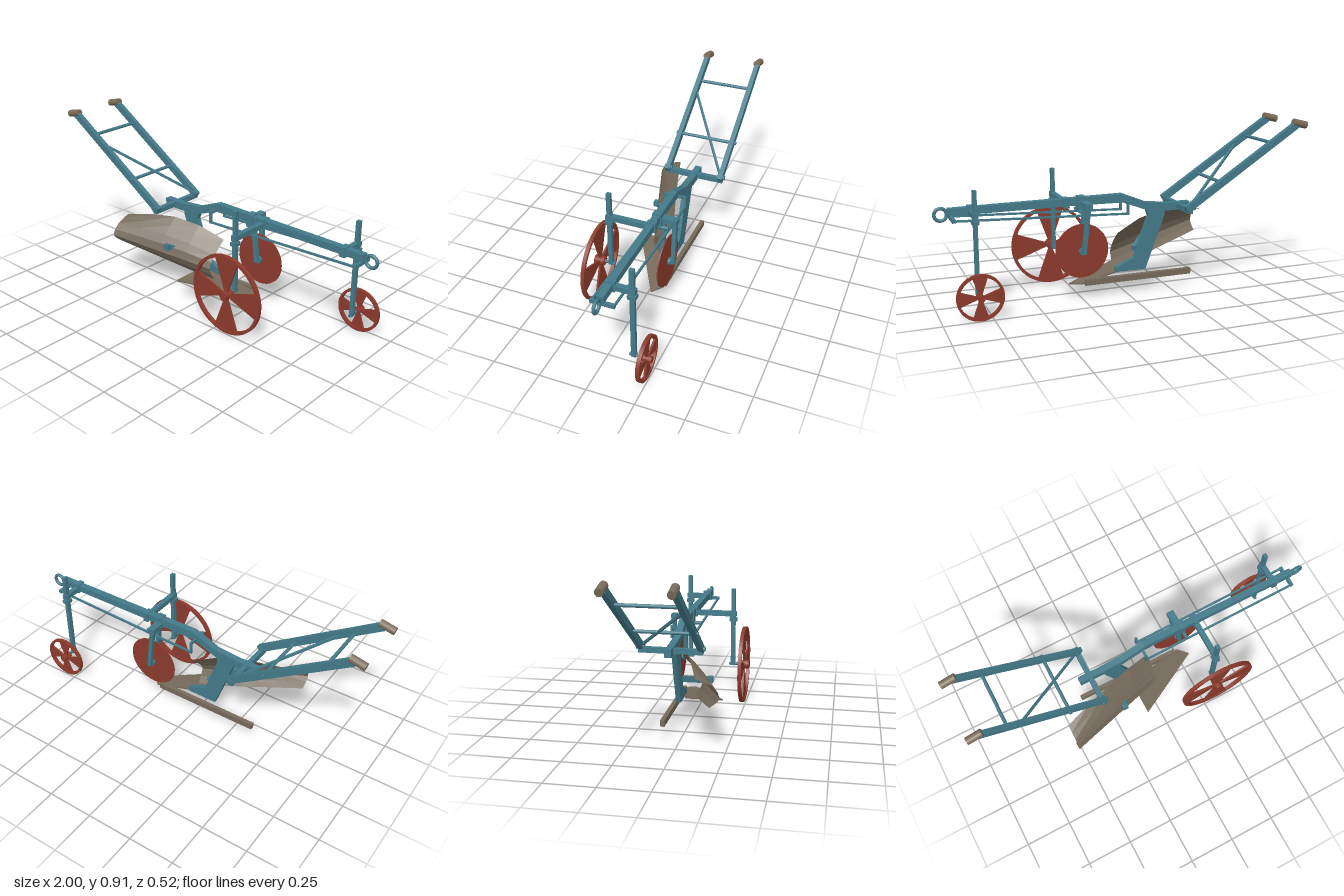
import * as THREE from 'three';

const paint = new THREE.MeshStandardMaterial({ color: 0x447a89 });
paint.name = 'blue green paint';
const red = new THREE.MeshStandardMaterial({ color: 0x8c3a2c });
red.name = 'red paint';
const steel = new THREE.MeshStandardMaterial({ color: 0x756a5b, side: THREE.DoubleSide });
steel.name = 'worn steel';
const wood = new THREE.MeshStandardMaterial({ color: 0x7a6c5a });
wood.name = 'grip wood';

const V = (x, y, z) => new THREE.Vector3(x, y, z);

export function createModel() {
  const root = new THREE.Group();
  root.name = 'plough';

  const add = (name, geo, mat, x = 0, y = 0, z = 0, parent = root) => {
    const m = new THREE.Mesh(geo, mat);
    m.name = name;
    m.position.set(x, y, z);
    parent.add(m);
    return m;
  };
  const box = (name, w, h, d, x, y, z, mat = paint) => add(name, new THREE.BoxGeometry(w, h, d), mat, x, y, z);
  // square bar between two points
  const bar = (name, a, b, w, h, mat = paint) => {
    const m = add(name, new THREE.BoxGeometry(w, h, a.distanceTo(b)), mat);
    m.position.copy(a).add(b).multiplyScalar(0.5);
    m.lookAt(b);
    return m;
  };
  // cylinder running along z
  const axle = (name, r, len, x, y, z, mat = paint, parent = root) =>
    add(name, new THREE.CylinderGeometry(r, r, len, 16).rotateX(Math.PI / 2), mat, x, y, z, parent);
  // outline in the xy plane, thickened evenly about z
  const plate = (shape, depth) =>
    new THREE.ExtrudeGeometry(shape, { depth, bevelEnabled: false, curveSegments: 40 }).translate(0, 0, -depth / 2);
  const outline = pts => new THREE.Shape(pts.map(p => new THREE.Vector2(...p)));

  // main beam, hitch ring and leg
  const bz = -0.062;
  add('beam', plate(outline([[-0.37, 0.43], [-0.25, 0.43], [-0.125, 0.442], [0.013, 0.495], [0.3, 0.5], [0.925, 0.5],
    [0.925, 0.536], [0.013, 0.541], [-0.125, 0.484], [-0.25, 0.472], [-0.37, 0.472]]), 0.036), paint, 0, 0, bz);
  add('hitchRing', new THREE.TorusGeometry(0.031, 0.009, 8, 24), paint, 0.96, 0.507, bz);
  add('leg', plate(outline([[-0.23, 0.45], [-0.23, 0.41], [-0.12, 0.115], [0.05, 0.115], [0.05, 0.14], [-0.055, 0.185],
    [-0.135, 0.41], [-0.12, 0.45]]), 0.026), paint, 0, 0, -0.06);
  bar('mouldboardStay', V(-0.06, 0.23, -0.05), V(-0.2, 0.275, 0.11), 0.025, 0.03);
  box('mouldboardBolt', 0.03, 0.03, 0.025, -0.2, 0.28, 0.127);

  // handles with grips and rungs
  for (const z of [0.095, -0.214]) {
    bar('handle', V(-0.94, 0.878, z), V(-0.29, 0.458, z), 0.026, 0.038);
    const a = V(-0.998, 0.872, z), b = V(-0.918, 0.891, z);
    const grip = add('grip', new THREE.CylinderGeometry(0.02, 0.02, a.distanceTo(b), 14).rotateX(Math.PI / 2), wood);
    grip.position.copy(a).add(b).multiplyScalar(0.5);
    grip.lookAt(b);
    axle('handleBolt', 0.013, 0.044, -0.31, 0.468, z);
  }
  axle('upperRung', 0.009, 0.3, -0.805, 0.782, -0.06);
  axle('middleRung', 0.009, 0.355, -0.495, 0.59, -0.06);
  box('lowerCrossbar', 0.026, 0.028, 0.33, -0.31, 0.452, -0.06);
  bar('handleBrace', V(-0.735, 0.742, 0.088), V(-0.32, 0.478, -0.205), 0.012, 0.012);

  // mouldboard: sections from rear to front, each given as [y, z] from top to bottom
  const mix = (a, b, t) => a + (b - a) * t;
  const topY = [0.376, 0.403, 0.412, 0.388, 0.33];
  const rear = [[0, 0.104], [0.345, 0.185], [0.285, 0.225], [0.235, 0.172]];
  const front = [[0, -0.07], [0.262, 0.005], [0.195, 0.047], [0.107, 0]];
  const rows = 6, pos = [], idx = [];
  topY.forEach((ty, i) => {
    const t = i / 4;
    const pts = rear.map((r, k) => V(mix(-0.525, 0.04, t),
      k ? mix(r[0], front[k][0], t) + (k === 1 ? 0.1 * t * (1 - t) : 0) : ty, mix(r[1], front[k][1], t)));
    new THREE.CatmullRomCurve3(pts).getPoints(rows).forEach(p => pos.push(p.x, p.y, p.z));
    if (i) for (let j = 0; j < rows; j++) {
      const a = (i - 1) * (rows + 1) + j, b = a + rows + 1;
      idx.push(a, a + 1, b, b, a + 1, b + 1);
    }
  });
  let board = new THREE.BufferGeometry();
  board.setAttribute('position', new THREE.Float32BufferAttribute(pos, 3));
  board.setIndex(idx);
  board = board.toNonIndexed();
  board.computeVertexNormals();
  add('mouldboard', board, steel);

  // share: flat blade sloping down to its point
  const share = plate(outline([[-0.083, -0.175], [0.305, 0.045], [0.25, 0.098], [-0.083, 0.03]]), 0.008).rotateX(-Math.PI / 2);
  const sp = share.attributes.position;
  for (let i = 0; i < sp.count; i++) sp.setY(i, sp.getY(i) + 0.132 - 0.155 * (sp.getX(i) + 0.083));
  share.computeVertexNormals();
  add('share', share, steel);
  box('landside', 0.605, 0.032, 0.023, -0.072, 0.085, -0.092, steel);

  // draught rails under the beam
  for (const z of [-0.12, -0.008]) {
    bar('draughtRail', V(0, 0.443, z), V(0.91, 0.482, z), 0.01, 0.01);
    box('railHanger', 0.012, 0.065, 0.012, 0, 0.47, z);
  }
  box('railCrossRear', 0.012, 0.014, 0.124, 0, 0.5, -0.064);
  box('railCrossFront', 0.018, 0.018, 0.124, 0.905, 0.482, -0.064);

  // wheel: rim, four fan spokes and hub
  const wheel = (name, R, rim, hub, x, y, z) => {
    const g = new THREE.Group();
    g.name = name;
    g.position.set(x, y, z);
    root.add(g);
    const ring = new THREE.Shape().absarc(0, 0, R, 0, Math.PI * 2);
    ring.holes.push(new THREE.Path().absarc(0, 0, R - rim, 0, Math.PI * 2, true));
    add('rim', plate(ring, 0.02), red, 0, 0, 0, g);
    const r = R - rim / 2, h = 0.36;
    const fan = new THREE.Shape();
    fan.moveTo(hub * 0.6, -hub * 0.35);
    fan.lineTo(r * Math.cos(h), -r * Math.sin(h));
    fan.absarc(0, 0, r, -h, h);
    fan.lineTo(hub * 0.6, hub * 0.35);
    for (let i = 0; i < 4; i++) add('spoke', plate(fan, 0.01), red, 0, 0, 0, g).rotation.z = i * Math.PI / 2;
    axle('hub', hub, 0.056, 0, 0, 0, red, g);
  };
  wheel('largeWheel', 0.217, 0.016, 0.024, 0.323, 0.219, 0.234);
  wheel('smallWheel', 0.118, 0.013, 0.018, 0.812, 0.12, -0.235);

  // wheel stems, collars, cross arms and axles
  const mount = (x, z, low, high, s) => {
    box('wheelStem', 0.02, high - low, 0.024, x, (high + low) / 2, z);
    bar('crossArm', V(x, 0.513, bz), V(x, 0.513, z + s * 0.018), 0.028, 0.028);
    box('stemCollar', 0.034, 0.02, 0.042, x, 0.481, z);
    axle('stub', 0.008, 0.075, x, low + 0.008, z + s * 0.015);
    box('beamClamp', 0.03, 0.052, 0.05, x, 0.516, bz);
  };
  mount(0.323, 0.17, 0.212, 0.656, 1);
  mount(0.812, -0.17, 0.113, 0.638, -1);

  // disc coulter with its fork
  axle('coulterDisc', 0.143, 0.006, 0.255, 0.268, -0.12, red).geometry =
    new THREE.CylinderGeometry(0.143, 0.143, 0.006, 32).rotateX(Math.PI / 2);
  for (const s of [-1, 1]) {
    bar('coulterFork', V(0.255, 0.258, -0.121 + s * 0.03), V(0.228, 0.5, -0.121 + s * 0.03), 0.022, 0.022);
    axle('coulterBoss', 0.02, 0.014, 0.255, 0.268, -0.12 + s * 0.014);
  }
  box('coulterYoke', 0.04, 0.028, 0.12, 0.23, 0.508, -0.107);
  box('coulterClamp', 0.04, 0.072, 0.048, 0.24, 0.51, bz);
  axle('clampBolt', 0.01, 0.12, 0.25, 0.468, bz);

  return root;
}
